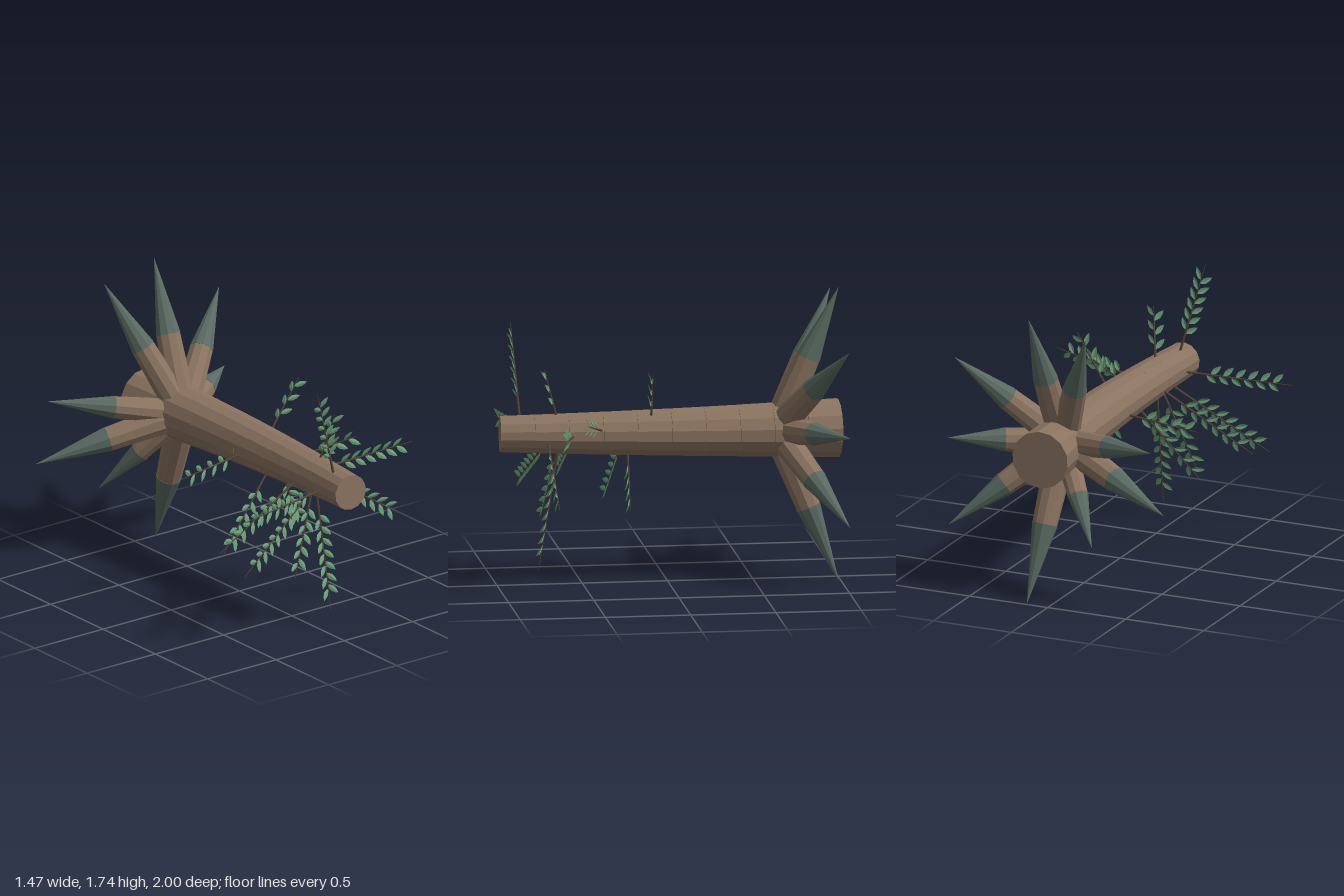
import * as THREE from 'three';
import { mergeGeometries } from 'three/addons/utils/BufferGeometryUtils.js';

const V = (x, y, z) => new THREE.Vector3(x, y, z);
const UP = V(0, 1, 0);

// Tapered cylinder running from point a to point b
function taper(a, b, ra, rb, sides, open = false) {
  const dir = b.clone().sub(a);
  const g = new THREE.CylinderGeometry(rb, ra, dir.length(), sides, 1, open);
  g.applyQuaternion(new THREE.Quaternion().setFromUnitVectors(UP, dir.normalize()));
  const mid = a.clone().add(b).multiplyScalar(0.5);
  return g.translate(mid.x, mid.y, mid.z);
}

// Pointed leaf along +y, folded along its midrib
function leafGeometry(length, width) {
  const profile = [[0, 0], [0.2, 0.6], [0.45, 1], [0.75, 0.7], [1, 0]];
  const pos = [], index = [];
  profile.forEach(([t, w], i) => {
    const h = (w * width) / 2, y = t * length, sag = 0.012 * t * t;
    pos.push(-h, y, sag, 0, y, sag + h * 0.35, h, y, sag);
    if (i === 0) return;
    const p = (i - 1) * 3, q = i * 3;
    for (const k of [0, 1]) index.push(p + k, p + k + 1, q + k + 1, p + k, q + k + 1, q + k);
  });
  const g = new THREE.BufferGeometry();
  g.setAttribute('position', new THREE.Float32BufferAttribute(pos, 3));
  g.setIndex(index);
  g.computeVertexNormals();
  return g;
}

export function createModel() {
  const root = new THREE.Group();
  root.name = 'fallenTree';

  const material = (name, color, opts = {}) => {
    const m = new THREE.MeshStandardMaterial({ color, ...opts });
    m.name = name;
    return m;
  };
  const bark = material('bark', 0x8a7360, { flatShading: true });
  const rootTip = material('rootTip', 0x5a6a62, { flatShading: true });
  const twigWood = material('twigWood', 0x55453a);
  const leafGreen = material('leafGreen', 0x6a9f78, { side: THREE.DoubleSide, flatShading: true });

  const add = (parent, name, geometry, mat) => {
    const m = new THREE.Mesh(geometry, mat);
    m.name = name;
    parent.add(m);
  };

  // Trunk: ten stacked segments following a gentle bend
  const axis = (z) => V(0.09 - 0.037 * z * z, 0.9 + 0.008 * z, z);
  const radius = (z) => 0.14 - 0.034 * z;
  const trunk = new THREE.Group();
  trunk.name = 'trunk';
  root.add(trunk);
  for (let i = 0; i < 10; i++) {
    const z0 = -0.99 + i * 0.198, z1 = z0 + 0.198;
    add(trunk, 'trunkSegment', taper(axis(z0), axis(z1), radius(z0), radius(z1), 14), bark);
  }

  // Roots: bark stub and dark pointed tip; x, y of the point, radius where the tip begins
  const roots = [
    [0.13, 1.74, 0.073], [0.605, 1.445, 0.07], [0.645, 0.945, 0.068],
    [0.64, 0.415, 0.07], [0.14, 0.0, 0.074], [-0.275, 0.4, 0.06],
    [-0.735, 0.66, 0.074], [-0.65, 1.03, 0.066], [-0.235, 1.665, 0.07],
  ];
  for (const [x, y, r] of roots) {
    const g = new THREE.Group();
    g.name = 'root';
    root.add(g);
    const start = V(0.07, 0.897, -0.63), end = V(x, y, -0.985);
    const mid = start.clone().lerp(end, 0.51);
    add(g, 'rootBase', taper(start, mid, r * 1.25, r, 10), bark);
    add(g, 'rootPoint', taper(mid, end, r * 1.03, 0.001, 10), rootTip);
  }

  // Twigs: base on the trunk, then the tip
  const twigs = [
    [-0.03, 0.87, 0.04, -0.47, 0.82, 0.05],
    [-0.01, 0.82, 0.27, -0.37, 0.42, 0.33],
    [-0.02, 0.86, 0.555, -0.585, 0.545, 0.57],
    [-0.02, 0.84, 0.7, -0.585, 0.48, 0.815],
    [-0.03, 0.895, 0.825, -0.67, 0.87, 0.925],
    [0.15, 1.01, 0.115, 0.335, 1.295, 0.13],
    [0.19, 0.94, 0.41, 0.455, 1.02, 0.525],
    [0.17, 0.905, 0.575, 0.73, 0.975, 0.695],
    [0.16, 0.86, 0.72, 0.62, 0.56, 0.715],
    [0.08, 1.0, 0.66, 0.13, 1.3, 0.74],
    [0.02, 1.0, 0.87, -0.125, 1.54, 0.905],
    [0.065, 0.81, 0.65, 0.08, 0.1, 0.767],
    [0.03, 0.82, 0.65, -0.155, 0.34, 0.73],
    [0.12, 0.79, 0.25, 0.24, 0.46, 0.25],
  ];
  for (const [bx, by, bz, tx, ty, tz] of twigs) {
    const g = new THREE.Group();
    g.name = 'twig';
    root.add(g);
    const base = V(bx, by, bz), tip = V(tx, ty, tz);
    const dir = tip.clone().sub(base), len = dir.length();
    dir.normalize();
    add(g, 'twigStem', taper(base.clone().addScaledVector(dir, -0.04), tip, 0.008, 0.002, 6), twigWood);

    // Leaves alternate on both sides, facing forward
    const side = dir.clone().cross(V(0, 0, 1)).normalize();
    const leaves = [];
    const count = Math.max(3, Math.round(len / 0.1));
    for (let i = 0; i < count; i++) {
      for (const s of [-1, 1]) {
        const t = 0.2 + (0.62 * (i + (s > 0 ? 0.35 : 0))) / (count - 0.65);
        const along = dir.clone().multiplyScalar(0.72).addScaledVector(side, s * 0.7);
        along.z += 0.12;
        along.normalize();
        const across = along.clone().cross(V(0, 0.15 * s, 1)).normalize();
        const normal = across.clone().cross(along);
        const p = base.clone().lerp(tip, t);
        const m = new THREE.Matrix4().makeBasis(across, along, normal).setPosition(p);
        leaves.push(leafGeometry(0.082, 0.034).applyMatrix4(m));
      }
    }
    add(g, 'twigLeaves', mergeGeometries(leaves), leafGreen);
  }
  return root;
}
